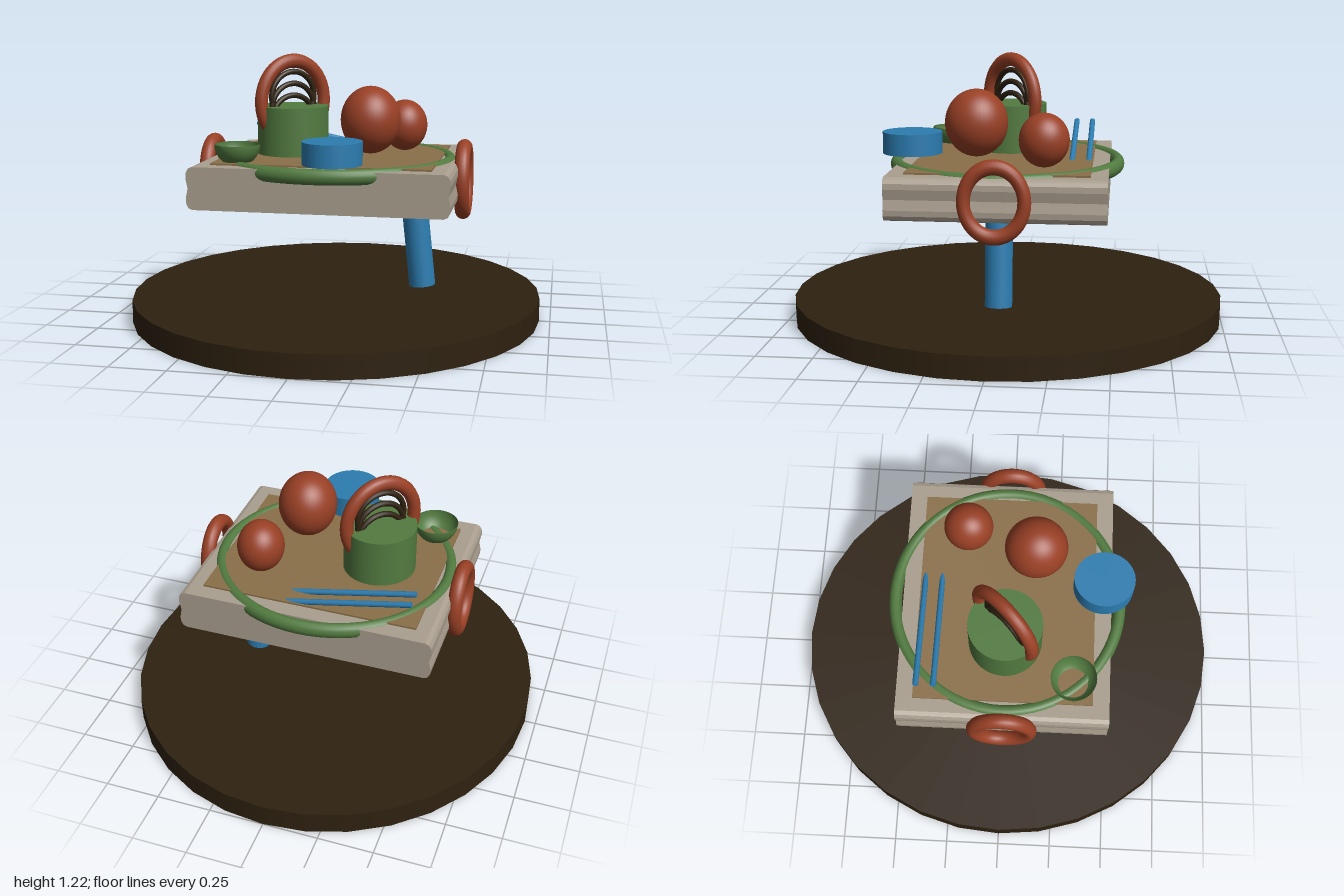
import * as THREE from 'three';

export function createModel() {
  const model = new THREE.Group();
  const paint = (name, color, side = THREE.FrontSide) => {
    const m = new THREE.MeshStandardMaterial({ color, side });
    m.name = name;
    return m;
  };
  const wood = paint('dark wood', 0x2e2110);
  const stone = paint('warm grey', 0xaa9f8f);
  const tan = paint('tan', 0x8b7049);
  const green = paint('green', 0x527b40, THREE.DoubleSide);
  const rust = paint('rust', 0x994025);
  const blue = paint('blue', 0x2c7db1);

  const add = (name, geometry, material, x, y, z) => {
    const mesh = new THREE.Mesh(geometry, material);
    mesh.name = name;
    mesh.position.set(x, y, z);
    model.add(mesh);
    return mesh;
  };
  // Cylinder running between two points
  const rod = (name, a, b, radius, material) => {
    const dir = b.clone().sub(a);
    const mid = a.clone().add(b).multiplyScalar(0.5);
    const mesh = add(name, new THREE.CylinderGeometry(radius, radius, dir.length(), 24), material, mid.x, mid.y, mid.z);
    mesh.quaternion.setFromUnitVectors(new THREE.Vector3(0, 1, 0), dir.normalize());
  };

  // Round base, slightly deeper than wide
  add('base', new THREE.CylinderGeometry(1, 1, 0.105, 32), wood, 0, 0.0525, 0).scale.x = 0.95;

  // Tray: side profile with rounded corners and a shallow groove, extruded along z
  const edge = [[0.55, -0.095], [0.568, -0.088], [0.578, -0.07], [0.58, -0.045], [0.571, 0],
    [0.58, 0.045], [0.578, 0.07], [0.568, 0.088], [0.55, 0.095]];
  const outline = [...edge, ...edge.map(([x, y]) => [-x, y]).reverse()];
  const shape = new THREE.Shape(outline.map(([x, y]) => new THREE.Vector2(x, y)));
  const trayGeo = new THREE.ExtrudeGeometry(shape, { depth: 0.95, bevelEnabled: false });
  trayGeo.translate(0, 0, -0.475);
  add('tray', trayGeo, stone, 0, 0.65, 0);
  add('trayPanel', new THREE.BoxGeometry(0.98, 0.02, 0.8), tan, 0, 0.743, 0);

  // Rim hoop lying around the tray
  const hoop = add('rimHoop', new THREE.TorusGeometry(0.515, 0.029, 16, 72), green, 0, 0.725, 0);
  hoop.rotation.x = Math.PI / 2;
  hoop.scale.set(1.025, 0.995, 1.2);

  // Ring handles on both ends
  for (const side of [-1, 1]) {
    const ring = add(side > 0 ? 'leftHandle' : 'rightHandle',
      new THREE.TorusGeometry(0.15, 0.034, 16, 48), rust, side * 0.593, 0.652, 0);
    ring.rotation.y = Math.PI / 2;
    ring.scale.x = 0.86;
  }

  // Single leaning leg
  rod('leg', new THREE.Vector3(0.355, 0.65, 0), new THREE.Vector3(0.408, 0.147, 0), 0.061, blue);

  // Pot with a diagonal ring and thin hoops nested in it
  add('pot', new THREE.CylinderGeometry(0.165, 0.165, 0.235, 40), green, -0.207, 0.8575, 0);
  const arch = add('potRing', new THREE.TorusGeometry(0.17, 0.03, 16, 48), rust, -0.207, 0.995, 0);
  arch.rotation.y = Math.PI / 4;
  arch.scale.y = 1.1;
  for (const top of [1.145, 1.09, 1.035]) {
    const hoopMesh = add('innerHoop', new THREE.TorusGeometry(0.115, 0.013, 12, 40), wood, -0.207, top - 0.128, 0);
    hoopMesh.rotation.y = Math.PI / 4;
  }

  // Two balls, slightly taller than wide
  const ball = new THREE.SphereGeometry(1, 40, 28);
  add('largeBall', ball, rust, 0.18, 0.93, 0.122).scale.set(0.135, 0.152, 0.142);
  add('smallBall', ball, rust, 0.293, 0.873, -0.19).scale.set(0.106, 0.12, 0.112);

  // Round blue box at the front edge
  add('roundBox', new THREE.CylinderGeometry(0.134, 0.134, 0.1, 40), blue, 0.066, 0.82, 0.435).scale.set(0.975, 1, 1.025);

  // Bottomless bowl
  add('bowl', new THREE.SphereGeometry(0.102, 36, 12, 0, Math.PI * 2, Math.PI / 2, Math.PI * 0.28),
    green, -0.39, 0.83, 0.31);

  // Pair of sticks sinking into the panel
  for (const z of [-0.38, -0.303]) {
    rod('stick', new THREE.Vector3(-0.46, 0.857, z), new THREE.Vector3(0.13, 0.735, z), 0.013, blue);
  }
  return model;
}
